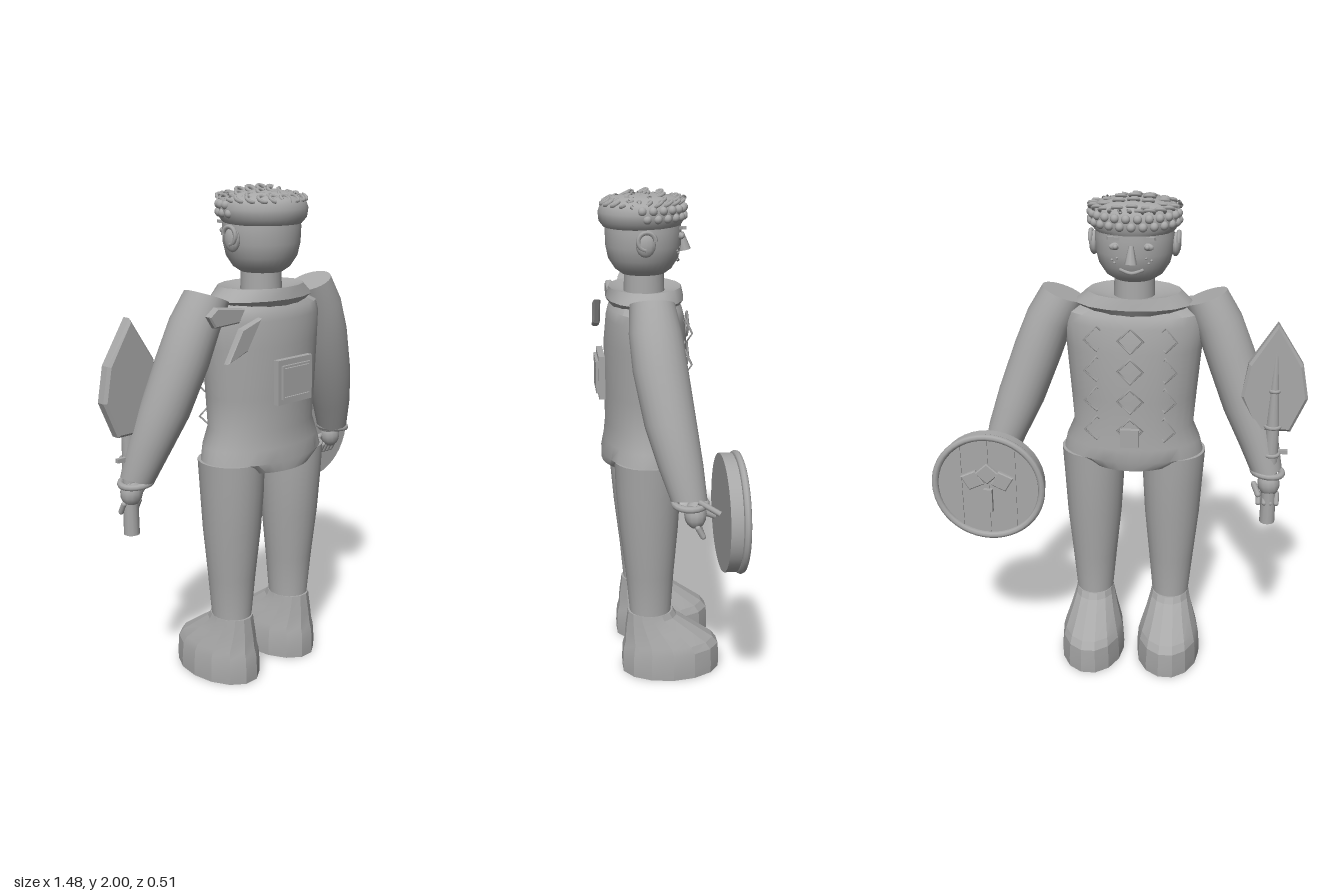
import * as THREE from 'three';
import { toCreasedNormals } from 'three/addons/utils/BufferGeometryUtils.js';

const stone = new THREE.MeshStandardMaterial({ color: 0xa8a8a8, side: THREE.DoubleSide });
stone.name = 'plain grey';

function add(parent, name, geo, pos = [0, 0, 0], rot = [0, 0, 0], scale = [1, 1, 1]) {
  const m = new THREE.Mesh(geo, stone);
  m.name = name;
  m.position.set(...pos);
  m.rotation.set(...rot);
  m.scale.set(...scale);
  parent.add(m);
  return m;
}

// Closed skin over elliptical rings [x, y, z, rx, rz, tilt], listed from bottom to top
function loft(rings, n = 24, crease = 0.7) {
  const pos = [], idx = [];
  rings.forEach(([x, y, z, rx, rz, t = 0]) => {
    for (let i = 0; i < n; i++) {
      const a = (i / n) * Math.PI * 2, c = rx * Math.cos(a);
      pos.push(x + c * Math.cos(t), y + c * Math.sin(t), z + rz * Math.sin(a));
    }
  });
  const last = rings.length - 1, base = rings.length * n;
  pos.push(...rings[0].slice(0, 3), ...rings[last].slice(0, 3));
  for (let i = 0; i < n; i++) {
    const k = (i + 1) % n;
    for (let j = 0; j < last; j++) {
      const a = j * n + i, b = j * n + k;
      idx.push(a, a + n, b, b, a + n, b + n);
    }
    idx.push(base, i, k, base + 1, last * n + k, last * n + i);
  }
  const g = new THREE.BufferGeometry();
  g.setAttribute('position', new THREE.Float32BufferAttribute(pos, 3));
  g.setIndex(idx);
  return toCreasedNormals(g, crease);
}

// Flat plate cut from an outline, centred in depth
function plate(points, depth) {
  const shape = new THREE.Shape(points.map(p => new THREE.Vector2(...p)));
  const bevel = depth * 0.2;
  const g = new THREE.ExtrudeGeometry(shape, { depth: depth - 2 * bevel, bevelThickness: bevel, bevelSize: bevel, bevelOffset: -bevel, bevelSegments: 1 });
  return g.translate(0, 0, -depth / 2 + bevel);
}

const box = (x, y, z) => new THREE.BoxGeometry(x, y, z);
const ball = r => new THREE.SphereGeometry(r, 12, 8);
const rod = (r1, r2, h, n = 12) => new THREE.CylinderGeometry(r1, r2, h, n);

function buildTorso(body) {
  add(body, 'torso', loft([
    [0, 0.905, 0.06, 0.205, 0.172], [0, 0.945, 0.055, 0.288, 0.178], [0, 1.0, 0.05, 0.275, 0.172],
    [0, 1.07, 0.05, 0.245, 0.165], [0, 1.2, 0.05, 0.255, 0.168], [0, 1.4, 0.05, 0.272, 0.165],
    [0, 1.5, 0.05, 0.285, 0.155], [0, 1.54, 0.05, 0.275, 0.145], [0, 1.57, 0.05, 0.2, 0.12]], 32));
  add(body, 'collar', loft([
    [0, 1.545, 0.05, 0.19, 0.135], [0, 1.575, 0.05, 0.235, 0.155],
    [0, 1.62, 0.05, 0.185, 0.145], [0, 1.6, 0.05, 0.1, 0.09]], 16, 0.5));
  add(body, 'neck', rod(0.078, 0.082, 0.14, 24), [0, 1.64, 0.052]);

  // Diamond stitching on the chest
  for (const x of [-0.135, 0, 0.135]) for (let r = 0; r < 4; r++) {
    const z = 0.05 - 0.168 * Math.sqrt(1 - (x / 0.26) ** 2) - 0.002;
    add(body, 'chestDiamond', new THREE.TorusGeometry(0.05, 0.005, 4, 4), [x, 1.46 - r * 0.125, z], [0, x * 3.2, 0]);
  }
  add(body, 'chestPatch', box(0.075, 0.075, 0.02), [0, 1.06, -0.132]);

  // Framed panel on the back
  add(body, 'backPanel', box(0.185, 0.175, 0.025), [0, 1.267, 0.23]);
  for (const s of [-1, 1]) {
    add(body, 'panelFrameSide', box(0.008, 0.13, 0.012), [s * 0.072, 1.267, 0.247]);
    add(body, 'panelFrameBar', box(0.15, 0.008, 0.012), [0, 1.267 + s * 0.062, 0.247]);
  }
  add(body, 'panelInset', box(0.135, 0.11, 0.012), [0, 1.267, 0.247]);
}

function buildHead(body) {
  const head = new THREE.Group();
  head.name = 'head';
  head.position.z = 0.055;
  body.add(head);
  add(head, 'skull', loft([
    [0, 1.67, 0, 0.08, 0.085], [0, 1.69, 0, 0.112, 0.112], [0, 1.73, 0, 0.138, 0.138], [0, 1.78, 0, 0.151, 0.148],
    [0, 1.84, 0, 0.154, 0.15], [0, 1.9, 0, 0.145, 0.145]], 32, 1));
  add(head, 'hairCap', loft([
    [0, 1.853, 0.006, 0.15, 0.15], [0, 1.875, 0.008, 0.17, 0.165], [0, 1.91, 0.008, 0.177, 0.168],
    [0, 1.945, 0.006, 0.166, 0.158], [0, 1.965, 0, 0.13, 0.125], [0, 1.977, 0, 0.05, 0.05]], 32, 1));

  // Curls over the crown, around the rim and along the fringe
  const curl = new THREE.TorusGeometry(0.019, 0.007, 6, 10, 4.6);
  for (let i = -2; i <= 2; i++) for (let j = -2; j <= 2; j++) {
    const x = i * 0.055, z = j * 0.058, d = Math.hypot(x, z);
    if (d > 0.14) continue;
    add(head, 'crownCurl', curl, [x, 1.983 - d * d * 1.6, z], [-1.1, 0, i * 0.6 + j]);
  }
  for (let i = 0; i < 22; i++) {
    const a = (i / 22) * Math.PI * 2;
    add(head, 'rimCurl', curl, [Math.cos(a) * 0.158, 1.95, Math.sin(a) * 0.15], [-1.0, 0, a * 3]);
  }
  for (let i = 0; i <= 12; i++) {
    const a = Math.PI * (1 + i / 12);
    for (const k of [0, 1]) {
      add(head, 'fringeCurl', ball(0.017), [Math.cos(a + k * 0.12) * 0.168, 1.895 + k * 0.03, Math.sin(a + k * 0.12) * 0.158]);
    }
  }

  // Face
  for (const s of [-1, 1]) {
    add(head, 'ear', ball(0.045), [s * 0.158, 1.8, 0.005], [0, 0, 0], [0.45, 1.05, 0.85]);
    add(head, 'earRim', new THREE.TorusGeometry(0.033, 0.009, 6, 14, 4.6), [s * 0.17, 1.815, 0.002], [0, Math.PI / 2, 0]);
    add(head, 'eye', ball(0.024), [s * 0.06, 1.82, -0.137], [0, s * 0.4, 0], [1.1, 0.6, 0.45]);
    add(head, 'pupil', ball(0.01), [s * 0.06, 1.82, -0.147]);
    add(head, 'eyebrow', box(0.06, 0.012, 0.016), [s * 0.062, 1.85, -0.14], [0, s * 0.4, s * 0.12]);
    for (const [x, y] of [[0.055, 1.775], [0.075, 1.765], [0.065, 1.755]]) {
      add(head, 'freckle', ball(0.005), [s * x, y, -Math.sqrt(0.146 ** 2 - x * x)]);
    }
  }
  add(head, 'nose', rod(0.009, 0.024, 0.07, 8), [0, 1.792, -0.158], [0.2, 0, 0]);
  const smile = new THREE.CatmullRomCurve3([[-0.045, 1.73, -0.128], [0, 1.718, -0.138], [0.045, 1.73, -0.128]].map(p => new THREE.Vector3(...p)));
  add(head, 'mouth', new THREE.TubeGeometry(smile, 10, 0.007, 6));
}

function buildLimbs(body, s) {
  add(body, 'arm', loft([
    [0.55, 0.915, -0.058, 0.062, 0.068, 0.3], [0.51, 1.04, -0.03, 0.08, 0.085, 0.3], [0.455, 1.18, 0, 0.094, 0.098, 0.3],
    [0.385, 1.37, 0.03, 0.097, 0.104, 0.32], [0.335, 1.5, 0.043, 0.094, 0.1, 0.35], [0.28, 1.6, 0.05, 0.089, 0.085, 0.36],
  ].map(([x, y, z, rx, rz, t]) => [s * x, y, z, rx, rz, s * t])));
  add(body, 'cuff', new THREE.TorusGeometry(0.06, 0.013, 8, 20), [s * 0.553, 0.91, -0.06], [Math.PI / 2, s * -0.1, 0]);
  add(body, 'palm', ball(0.05), [s * 0.56, 0.865, -0.08], [0, 0, s * 0.15], [0.9, 1.1, 0.85]);
  for (let i = 0; i < 4; i++) {
    add(body, 'finger', new THREE.CapsuleGeometry(0.011, 0.04, 4, 8), [s * (0.522 + i * 0.024), 0.805, -0.095], [0.5, 0, 0]);
  }
  add(body, 'thumb', new THREE.CapsuleGeometry(0.012, 0.045, 4, 8), [s * 0.51, 0.845, -0.1], [0.5, 0, s * 0.4]);

  const x = s * 0.165;
  add(body, 'leg', loft([
    [x, 0.19, 0.05, 0.083, 0.092], [x, 0.27, 0.048, 0.078, 0.086], [x, 0.45, 0.05, 0.095, 0.1],
    [x, 0.65, 0.053, 0.115, 0.12], [x, 0.82, 0.055, 0.125, 0.132], [s * 0.168, 0.945, 0.055, 0.13, 0.136]]));
  add(body, 'boot', loft([
    [x, 0, -0.037, 0.135, 0.208], [x, 0.04, -0.037, 0.136, 0.21], [x, 0.11, -0.037, 0.13, 0.206], [x, 0.14, -0.03, 0.122, 0.19],
    [x, 0.2, 0.01, 0.1, 0.145], [x, 0.25, 0.042, 0.085, 0.105], [x, 0.275, 0.048, 0.08, 0.096]], 14, 0.25));
}

function buildAxe(group) {
  const axe = new THREE.Group();
  axe.name = 'axe';
  axe.position.set(-0.612, 0, -0.075);
  group.add(axe);
  add(axe, 'axeHandle', rod(0.026, 0.031, 0.44), [0, 0.915, -0.01]);
  add(axe, 'axeSpike', rod(0.004, 0.026, 0.35), [0, 1.3, -0.018]);
  const half = [[0, 1.54], [0.105, 1.375], [0.13, 1.24], [0.07, 1.1]];
  const left = half.slice(1).reverse().map(([x, y]) => [-x, y]);
  add(axe, 'axeBlade', plate([...half, ...left], 0.055), [0, 0, 0.003]);
  for (const y of [1.0, 1.12, 1.27]) {
    add(axe, 'axeBinding', new THREE.TorusGeometry(0.03, 0.008, 6, 14), [0, y, -0.012], [Math.PI / 2, 0, 0], y > 1.2 ? [0.7, 0.7, 1] : [1, 1, 1]);
  }
  add(axe, 'axeCrossbar', box(0.13, 0.016, 0.016), [0, 1.005, 0]);
}

function buildShield(group) {
  const shield = new THREE.Group();
  shield.name = 'shield';
  shield.position.set(0.508, 0.867, 0);
  group.add(shield);
  const tip = [Math.PI / 2, 0, 0];
  add(shield, 'shieldBoard', rod(0.222, 0.222, 0.045, 40), [0, 0, -0.198], tip);
  add(shield, 'shieldFace', rod(0.208, 0.208, 0.02, 40), [0, 0, -0.225], tip);
  add(shield, 'shieldRim', new THREE.TorusGeometry(0.217, 0.014, 8, 48), [0, 0, -0.237]);
  for (const x of [-0.11, 0, 0.11]) {
    add(shield, 'plankSeam', box(0.008, 2 * Math.sqrt(0.205 ** 2 - x * x), 0.008), [x, 0, -0.236]);
  }
  // Emblem of three lozenges over a short stem
  const lozenge = plate([[-0.05, 0], [0, -0.045], [0.05, 0], [0, 0.045]], 0.02);
  for (const [x, y] of [[-0.06, 0.035], [0, 0.065], [0.06, 0.035]]) {
    add(shield, 'emblemLozenge', lozenge, [x, y, -0.247], [0, 0, x * 5]);
  }
  add(shield, 'emblemStem', box(0.035, 0.1, 0.02), [0, -0.055, -0.246]);
  // Grip straps behind the board
  for (const s of [-1, 1]) {
    add(shield, 'shieldStrap', rod(0.011, 0.011, 0.09, 8), [s * 0.05, 0.01 + s * 0.03, -0.125], [Math.PI / 2 - 0.5, 0, s * 0.3]);
  }
}

export function createModel() {
  const group = new THREE.Group();
  group.name = 'warriorFigure';
  const body = new THREE.Group();
  body.name = 'body';
  body.position.x = -0.05;
  group.add(body);
  buildTorso(body);
  buildHead(body);
  for (const s of [-1, 1]) buildLimbs(body, s);

  // Loose plates by the right shoulder
  add(group, 'shoulderPlate', plate([[-0.435, 1.55], [-0.395, 1.58], [-0.255, 1.56], [-0.285, 1.51], [-0.405, 1.505]], 0.03), [0, 0, 0.17]);
  add(group, 'shoulderPlate', plate([[-0.4, 1.38], [-0.33, 1.5], [-0.23, 1.53], [-0.3, 1.415]], 0.03), [0, 0, 0.23]);

  buildAxe(group);
  buildShield(group);
  return group;
}
